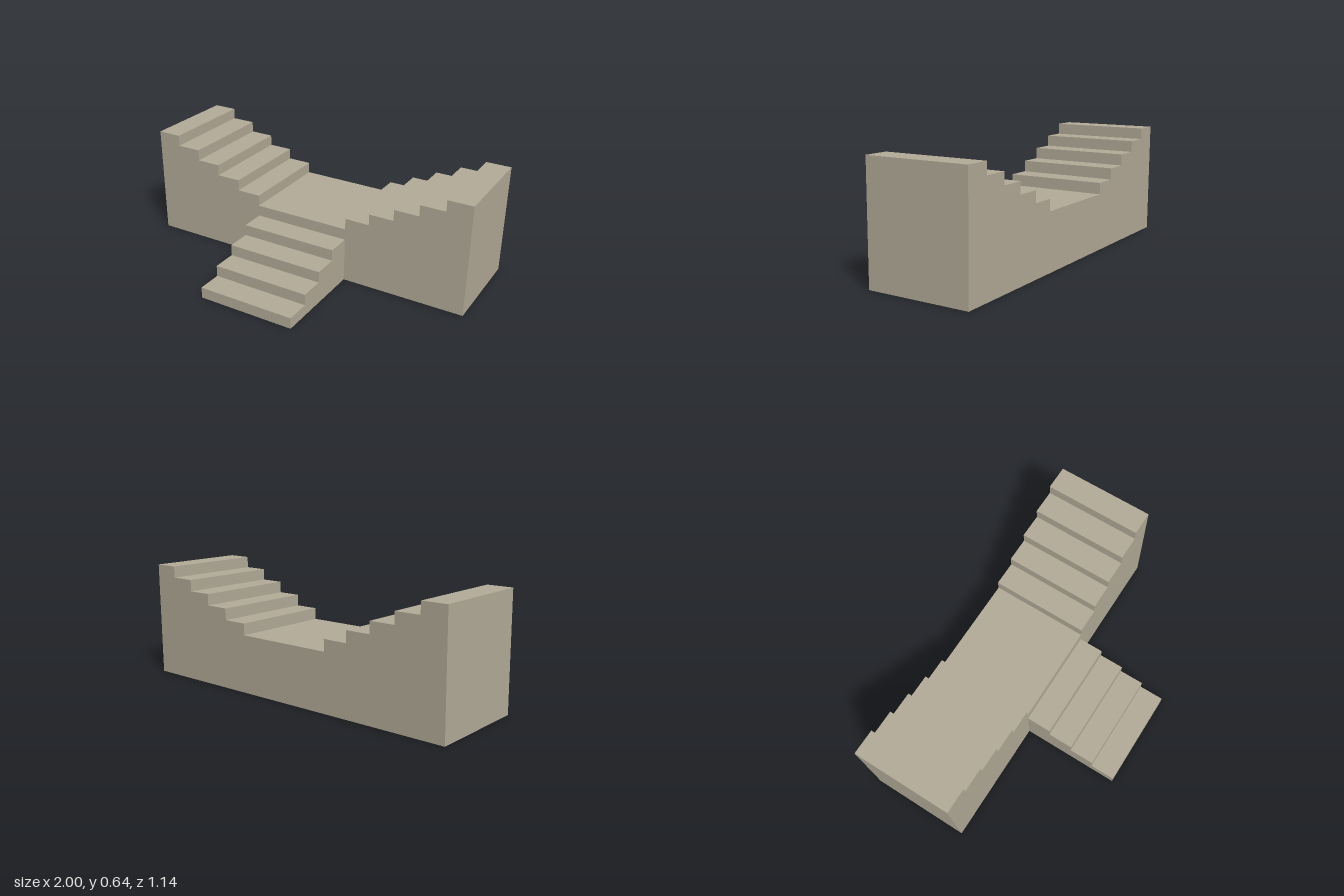
import * as THREE from 'three';

const TREAD = 1 / 7;      // depth of every step
const RISE = 0.0643;      // height of every step
const WIDTH = 4 * TREAD;  // width of every flight

// Solid block with a stepped outline, extruded by one flight width
function steppedBlock(name, points, material) {
  const shape = new THREE.Shape(points.map(([x, y]) => new THREE.Vector2(x, y)));
  const geometry = new THREE.ExtrudeGeometry(shape, { depth: WIDTH, bevelEnabled: false });
  const mesh = new THREE.Mesh(geometry, material);
  mesh.name = name;
  return mesh;
}

export function createModel() {
  const group = new THREE.Group();
  group.name = 'splitStaircase';
  const stone = new THREE.MeshStandardMaterial({ color: 0xb3ab98, flatShading: true });

  // Landing with five steps rising to each side
  const right = [];
  for (let i = 0; i < 5; i++) {
    const x = (2 + i) * TREAD;
    right.push([x, (5 + i) * RISE], [x, (6 + i) * RISE]);
  }
  right.push([1, 10 * RISE]);
  const left = right.map(([x, y]) => [-x, y]).reverse();
  const upper = steppedBlock('landingAndSideFlights', [[-1, 0], [1, 0], ...right.reverse(), ...left.reverse()], stone);
  upper.position.z = -WIDTH;
  group.add(upper);

  // Front flight: four steps up to the landing
  const steps = [[0, 0], [WIDTH, 0]];
  for (let i = 1; i <= 4; i++) {
    steps.push([(5 - i) * TREAD, i * RISE], [(4 - i) * TREAD, i * RISE]);
  }
  const front = steppedBlock('frontFlight', steps, stone);
  front.rotation.y = -Math.PI / 2; // profile x runs along +z
  front.position.x = WIDTH / 2;
  group.add(front);

  return group;
}
